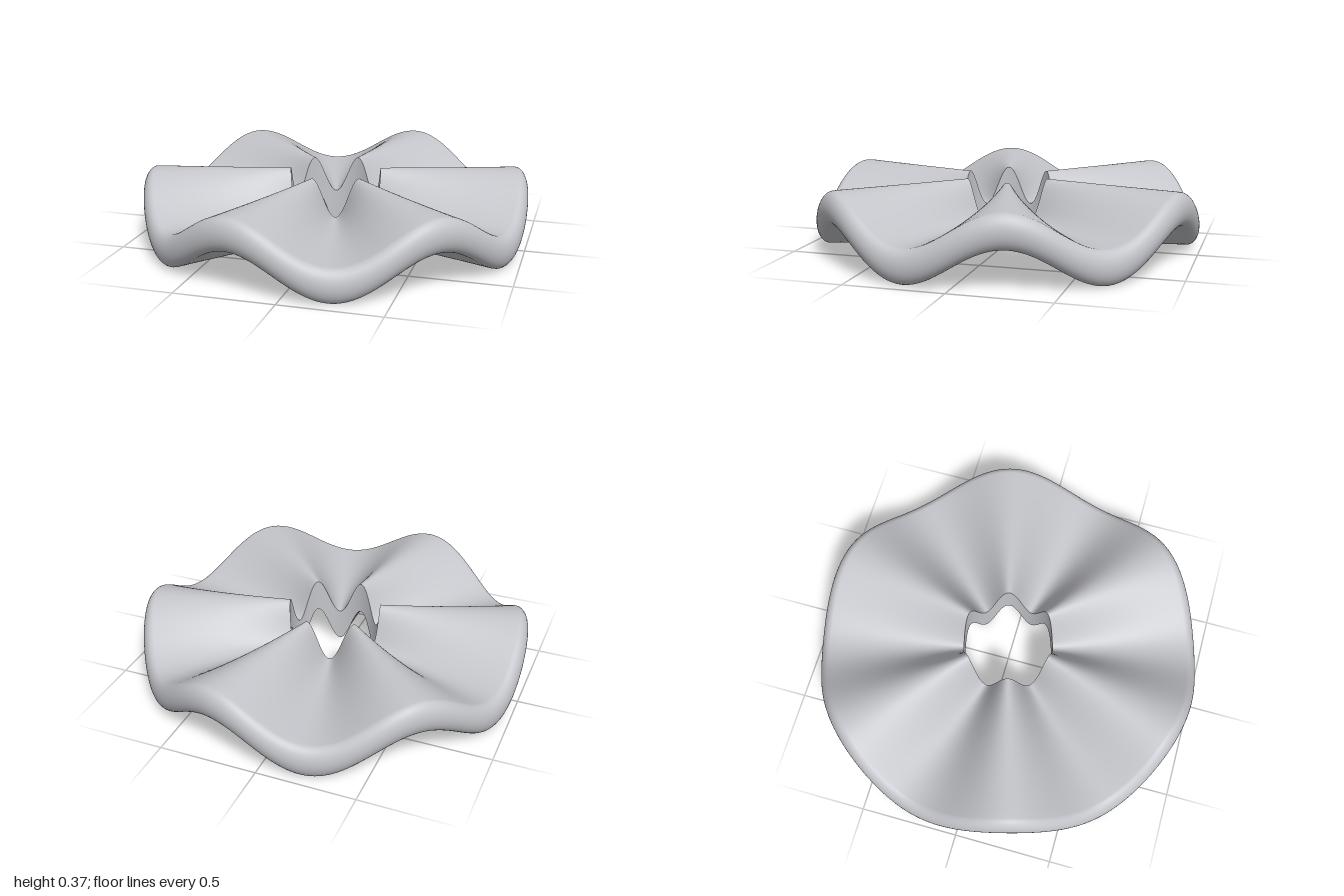
import * as THREE from 'three';

const WAVES = 6, AMP = 0.0975, HALF = 0.085, INNER = 0.235, OUTER = 1;
const MID = AMP + HALF, RIM = 0.055, STEPS = 288;

// Point of the ring: the cross-section (r, h) lifted by the wave at angle phi
function ringPoint(r, h, phi) {
  return [r * Math.sin(phi), MID - AMP * Math.sin(WAVES * phi) + h, r * Math.cos(phi)];
}

// Sweeps an open profile of [r, h] points all the way round
function sweep(profile) {
  const pos = [], index = [], n = profile.length;
  for (let i = 0; i < STEPS; i++) {
    const phi = i / STEPS * Math.PI * 2;
    for (const [r, h] of profile) pos.push(...ringPoint(r, h, phi));
  }
  for (let i = 0; i < STEPS; i++) {
    const next = (i + 1) % STEPS;
    for (let j = 0; j < n - 1; j++) {
      const a = i * n + j, b = a + 1, c = next * n + j, d = c + 1;
      index.push(a, b, c, b, d, c);
    }
  }
  const geometry = new THREE.BufferGeometry();
  geometry.setAttribute('position', new THREE.Float32BufferAttribute(pos, 3));
  geometry.setIndex(index);
  geometry.computeVertexNormals();
  return geometry;
}

export function createModel() {
  const group = new THREE.Group();
  group.name = 'wavyRing';
  const grey = new THREE.MeshStandardMaterial({ color: 0xc4c5ca });
  grey.name = 'lightGrey';

  const add = (name, profile) => {
    const mesh = new THREE.Mesh(sweep(profile), grey);
    mesh.name = name;
    group.add(mesh);
  };

  // Top face, rounded rim and underside in one smooth skin
  const skin = [], edge = OUTER - RIM, radial = 14, round = 16;
  for (let k = 0; k < radial; k++) skin.push([INNER + (edge - INNER) * k / radial, HALF]);
  for (let k = 0; k <= round; k++) {
    const a = Math.PI / 2 - Math.PI * k / round;
    skin.push([edge + RIM * Math.cos(a), HALF * Math.sin(a)]);
  }
  for (let k = radial - 1; k >= 0; k--) skin.push([INNER + (edge - INNER) * k / radial, -HALF]);
  add('wavySkin', skin);

  // Wall of the central hole
  add('holeWall', [[INNER, -HALF], [INNER, 0], [INNER, HALF]]);

  return group;
}
